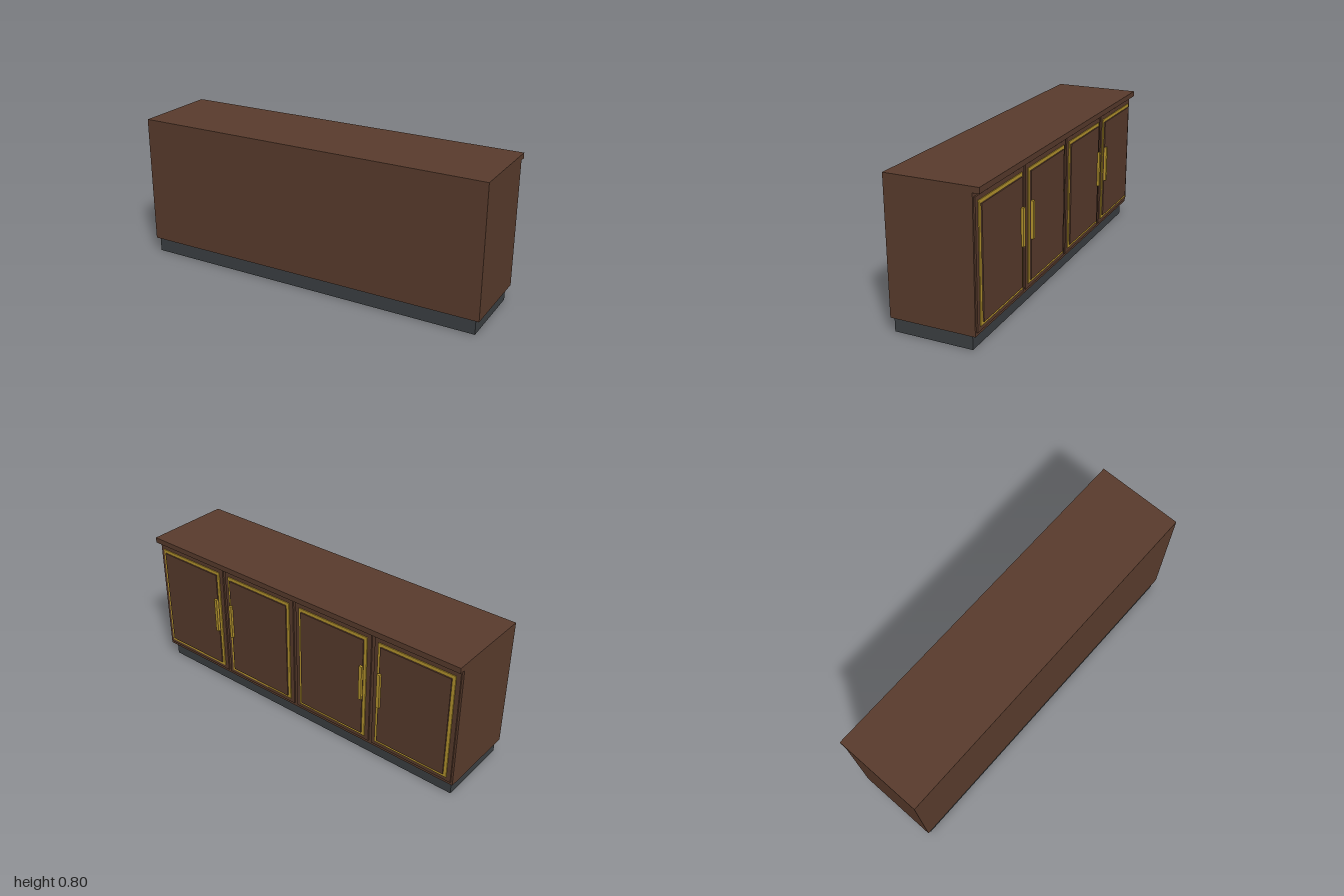
import * as THREE from 'three';

const wood = new THREE.MeshStandardMaterial({ color: 0x5a3c2d });
const dark = new THREE.MeshStandardMaterial({ color: 0x3c4043 });
const gold = new THREE.MeshStandardMaterial({ color: 0xb8962e });

// Box given by its extents on each axis
function slab(name, material, [x0, x1], [y0, y1], [z0, z1]) {
  const mesh = new THREE.Mesh(new THREE.BoxGeometry(x1 - x0, y1 - y0, z1 - z0), material);
  mesh.position.set((x0 + x1) / 2, (y0 + y1) / 2, (z0 + z1) / 2);
  mesh.name = name;
  return mesh;
}

// Door with stacked layers: leaf, gold trim, raised panel, bar handle
function makeDoor(centre, handleSide) {
  const door = new THREE.Group();
  door.name = 'door';
  const handleX = handleSide * 0.195;
  door.add(
    slab('doorLeaf', wood, [-0.24, 0.24], [0.10, 0.75], [-0.218, -0.21]),
    slab('doorTrim', gold, [-0.217, 0.217], [0.123, 0.728], [-0.223, -0.218]),
    slab('doorPanel', wood, [-0.2, 0.2], [0.14, 0.71], [-0.23, -0.223]),
    slab('handle', gold, [handleX - 0.009, handleX + 0.009], [0.36, 0.56], [-0.243, -0.23])
  );
  door.position.x = centre;
  return door;
}

export function createModel() {
  const model = new THREE.Group();
  model.name = 'sideboard';

  // Carcass, overhanging top and recessed plinth
  model.add(
    slab('plinth', dark, [-0.98, 0.98], [0, 0.08], [-0.185, 0.235]),
    slab('cabinetBody', wood, [-1, 1], [0.08, 0.77], [-0.21, 0.245]),
    slab('top', wood, [-1, 1], [0.77, 0.80], [-0.245, 0.245])
  );

  // Two mirrored pairs of doors, handles meeting within each pair
  for (const side of [-1, 1]) {
    model.add(makeDoor(side * 0.25, side), makeDoor(side * 0.75, -side));
  }
  return model;
}
